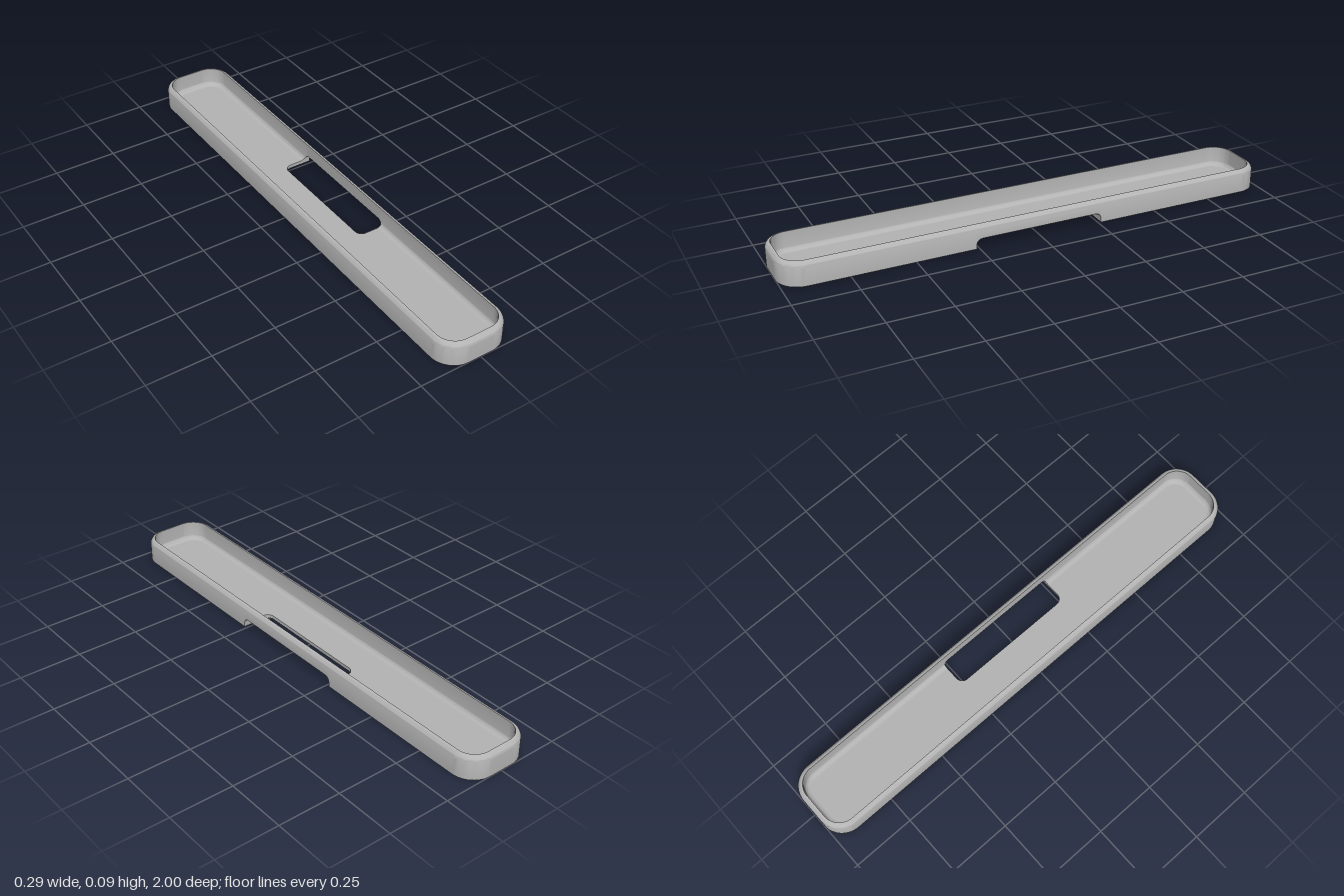
import * as THREE from 'three';
import { toCreasedNormals } from 'three/addons/utils/BufferGeometryUtils.js';

const W = 0.143, L = 1, H = 0.094, R = 0.092;   // half width, half length, height, corner radius
const WALL = 0.02, FLOOR = 0.015, FILLET = 0.02; // wall, floor, inner fillet
const RIM = 0.024;                               // height of the rounded rim
const CUT_Z = 0.262, CUT_X = 0.022, CUT_R = 0.025, HOLE_R = 0.03; // side opening
const IN = WALL + FILLET;

// Wall section as [inset, y], closed, with its underside raised to h
function section(h) {
  const pts = [[0, h]];
  for (let i = 0; i <= 8; i++) {
    const a = (i / 8) * Math.PI / 2;
    pts.push([WALL * (1 - Math.cos(a)), H - RIM + RIM * Math.sin(a)]);
  }
  const yc = FLOOR + FILLET;
  const aEnd = Math.asin(THREE.MathUtils.clamp((yc - h) / FILLET, 0, 1));
  for (let i = 0; i <= 8; i++) {
    const a = (i / 8) * aEnd;
    pts.push([IN - FILLET * Math.cos(a), Math.max(h, yc - FILLET * Math.sin(a))]);
  }
  pts.push([pts[pts.length - 1][0], h], [0, h]);
  return pts;
}

// Stations around the outline: outer point, outward normal, underside height
function stations() {
  const list = [];
  [[1, 1], [-1, 1], [-1, -1], [1, -1]].forEach(([sx, sz], q) => {
    for (let i = 0; i <= 12; i++) {
      const a = (q + i / 12) * Math.PI / 2, nx = Math.cos(a), nz = Math.sin(a);
      list.push({ x: sx * (W - R) + R * nx, z: sz * (L - R) + R * nz, nx, nz, h: 0 });
    }
  });
  // Opening in the side wall, with rounded upper corners
  const cut = [{ z: CUT_Z, h: 0 }];
  for (let i = 0; i <= 8; i++) {
    const a = (i / 8) * Math.PI / 2;
    cut.push({ z: CUT_Z - CUT_R * (1 - Math.cos(a)), h: FLOOR + CUT_R * Math.sin(a) });
  }
  const side = (p, s) => ({ x: W, z: s * p.z, nx: 1, nz: 0, h: p.h });
  list.push(...cut.map(p => side(p, -1)), ...cut.slice().reverse().map(p => side(p, 1)));
  list.push(list[0]);
  return list;
}

function wallGeometry() {
  const rings = stations().map(s =>
    section(s.h).map(([d, y]) => [s.x - s.nx * d, y, s.z - s.nz * d]));
  const pos = [];
  for (let i = 0; i < rings.length - 1; i++) {
    for (let j = 0; j < rings[i].length - 1; j++) {
      const a = rings[i][j], b = rings[i][j + 1], c = rings[i + 1][j], d = rings[i + 1][j + 1];
      pos.push(...a, ...b, ...c, ...b, ...d, ...c);
    }
  }
  const g = new THREE.BufferGeometry();
  g.setAttribute('position', new THREE.Float32BufferAttribute(pos, 3));
  return toCreasedNormals(g, 0.6);
}

// Floor plate with the opening cut in from its +x edge
function floorGeometry() {
  const w = W - IN, l = L - IN, r = R - IN, s = new THREE.Shape();
  s.moveTo(w, CUT_Z);
  s.lineTo(w, l - r);
  s.absarc(w - r, l - r, r, 0, Math.PI / 2);
  s.absarc(-w + r, l - r, r, Math.PI / 2, Math.PI);
  s.absarc(-w + r, -l + r, r, Math.PI, Math.PI * 1.5);
  s.absarc(w - r, -l + r, r, Math.PI * 1.5, Math.PI * 2);
  s.lineTo(w, -CUT_Z);
  s.absarc(CUT_X + HOLE_R, -CUT_Z + HOLE_R, HOLE_R, Math.PI * 1.5, Math.PI, true);
  s.absarc(CUT_X + HOLE_R, CUT_Z - HOLE_R, HOLE_R, Math.PI, Math.PI / 2, true);
  s.closePath();
  const g = new THREE.ExtrudeGeometry(s, { depth: FLOOR, bevelEnabled: false, curveSegments: 12 });
  g.rotateX(-Math.PI / 2);
  return toCreasedNormals(g, 0.6);
}

export function createModel() {
  const grey = new THREE.MeshStandardMaterial({ color: 0xb4b4b4 });
  grey.name = 'grey';
  const tray = new THREE.Group();
  tray.name = 'tray';
  for (const [name, geometry] of [['wall', wallGeometry()], ['floor', floorGeometry()]]) {
    const mesh = new THREE.Mesh(geometry, grey);
    mesh.name = name;
    tray.add(mesh);
  }
  return tray;
}
